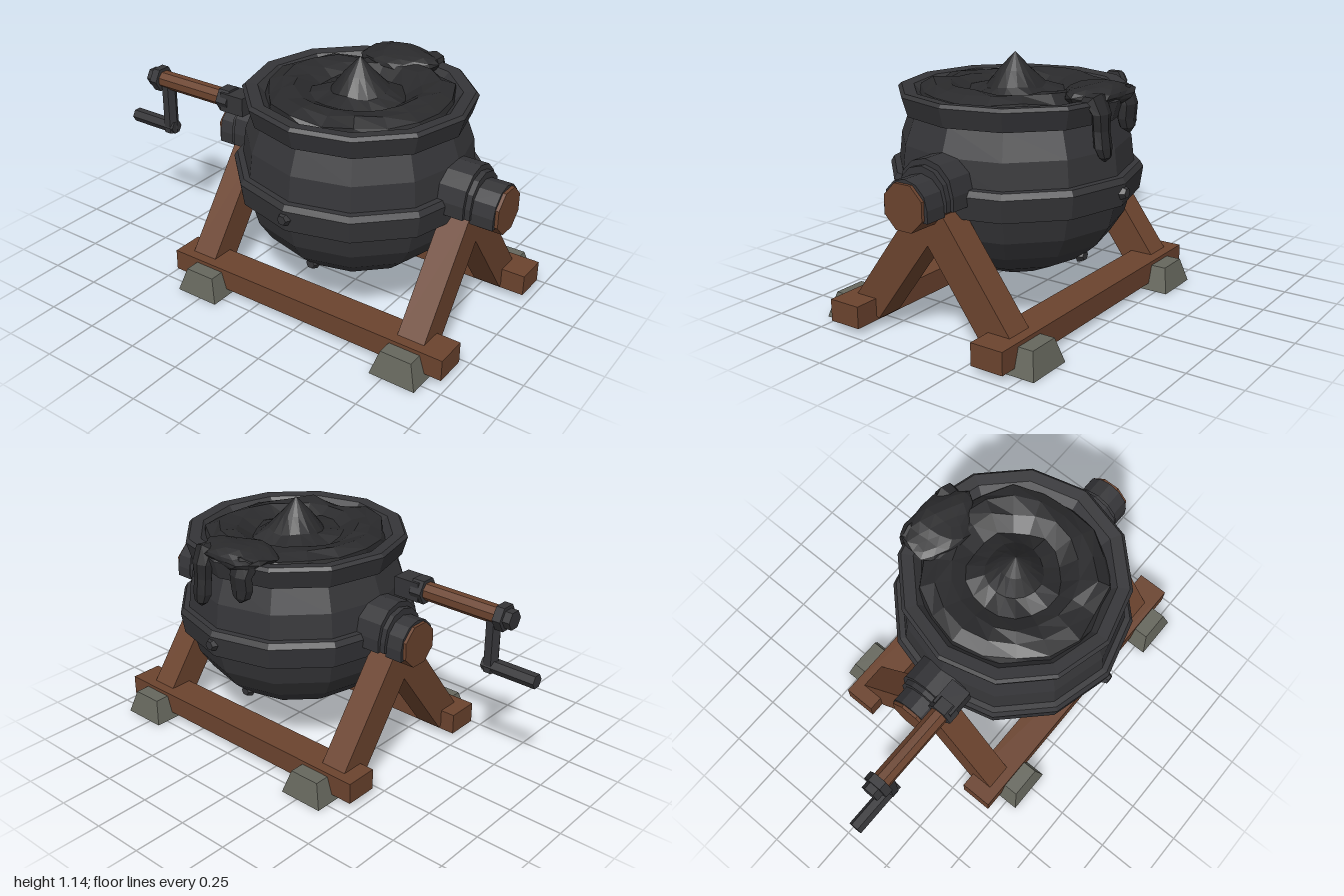
import * as THREE from 'three';

const mat = (color) => new THREE.MeshStandardMaterial({ color, flatShading: true, roughness: 0.9, side: THREE.DoubleSide });
const IRON = mat(0x353538), WOOD = mat(0x6b432e), STONE = mat(0x66675d), BREW = mat(0x2a2a2c);
const POT_Z = 0.25;

export function createModel() {
  const root = new THREE.Group();
  root.name = 'tiltingCauldron';

  const add = (name, geo, material, x = 0, y = 0, z = 0) => {
    const m = new THREE.Mesh(geo, material);
    m.name = name;
    m.position.set(x, y, z);
    root.add(m);
    return m;
  };
  const lathe = (name, pts, material, segs = 12) =>
    add(name, new THREE.LatheGeometry(pts.map(p => new THREE.Vector2(...p)), segs), material, 0, 0, POT_Z);
  // cylinder lying along z between z0 and z1
  const rod = (name, material, r, x, y, z0, z1, sides = 8) => {
    const g = new THREE.CylinderGeometry(r, r, Math.abs(z1 - z0), sides);
    g.rotateY(Math.PI / sides).rotateX(Math.PI / 2);
    return add(name, g, material, x, y, (z0 + z1) / 2);
  };
  const lump = (x, y, z) => Math.sin(x * 23 + z * 9) * 0.5 + Math.sin(z * 29 - x * 7 + y * 17) * 0.5;
  const displace = (g, rule) => {
    const p = g.attributes.position, v = new THREE.Vector3();
    for (let i = 0; i < p.count; i++) {
      rule(v.fromBufferAttribute(p, i));
      p.setXYZ(i, v.x, v.y, v.z);
    }
    g.computeVertexNormals();
    return g;
  };

  // pot body, belt and rim
  lathe('potBody', [[0, 0.18], [0.18, 0.19], [0.34, 0.265], [0.425, 0.34], [0.485, 0.43], [0.515, 0.54],
    [0.525, 0.65], [0.51, 0.78], [0.465, 0.9]], IRON);
  lathe('belt', [[0.505, 0.535], [0.55, 0.54], [0.565, 0.64], [0.55, 0.665], [0.5, 0.668]], IRON);
  lathe('rim', [[0.45, 0.895], [0.495, 0.9], [0.52, 0.985], [0.505, 1.0], [0.45, 0.995], [0.41, 0.95], [0.4, 0.9]], IRON);

  // brew: swollen edge, hollow middle and a central peak
  const brew = lathe('brew', [[0.43, 0.93], [0.41, 0.99], [0.35, 1.015], [0.28, 1.01], [0.21, 0.97],
    [0.13, 1.0], [0.07, 1.07], [0, 1.145]], BREW, 18);
  displace(brew.geometry, v => {
    const r = Math.hypot(v.x, v.z);
    if (r < 0.1 || r > 0.42) return;
    const n = lump(v.x, 0, v.z);
    v.y += n * 0.018;
    v.x *= 1 + n * 0.05;
    v.z *= 1 + n * 0.05;
  });

  // brew spilling over the left side of the rim
  const blob = (name, rx, ry, rz, x, y, z) => {
    const g = new THREE.IcosahedronGeometry(1, 2);
    displace(g, v => {
      v.multiplyScalar(1 + 0.14 * lump(v.x * 0.2, v.y * 0.2, v.z * 0.2));
      v.set(v.x * rx, v.y * ry, v.z * rz);
    });
    add(name, g, BREW, x, y, z);
  };
  blob('spill', 0.13, 0.05, 0.19, 0.4, 1.0, 0.22);
  // each section: x, y, half width along z, half depth
  const drip = (name, z, sections) => {
    const N = 7, pos = [], idx = [];
    sections.forEach(([x, y, w, d], j) => {
      for (let i = 0; i < N; i++) {
        const a = i / N * Math.PI * 2, tilt = j < 2 ? 0.8 : 0;
        pos.push(x + d * Math.cos(a) * (1 - tilt * 0.3), y + d * Math.cos(a) * tilt, z + w * Math.sin(a));
        if (j < sections.length - 1) {
          const p = j * N + i, q = j * N + (i + 1) % N;
          idx.push(p, q, p + N, q, q + N, p + N);
        }
      }
    });
    const g = new THREE.BufferGeometry();
    g.setAttribute('position', new THREE.Float32BufferAttribute(pos, 3));
    g.setIndex(idx);
    g.computeVertexNormals();
    add(name, g, BREW);
  };
  drip('longDrip', 0.345, [[0.38, 1.0, 0.04, 0.03], [0.47, 1.0, 0.06, 0.04], [0.5, 0.95, 0.055, 0.035],
    [0.5, 0.88, 0.045, 0.035], [0.51, 0.81, 0.05, 0.035], [0.52, 0.77, 0.035, 0.025], [0.52, 0.75, 0.005, 0.005]]);
  drip('shortDrip', 0.115, [[0.38, 1.0, 0.05, 0.03], [0.46, 1.0, 0.07, 0.04], [0.49, 0.95, 0.06, 0.035],
    [0.485, 0.89, 0.06, 0.035], [0.49, 0.85, 0.045, 0.03], [0.5, 0.825, 0.005, 0.005]]);

  // rivets on the belt and low on the pot
  for (const s of [-1, 1]) {
    const rivet = new THREE.CylinderGeometry(0.022, 0.035, 0.03, 6).rotateZ(-s * Math.PI / 2);
    add('beltRivet', rivet, IRON, s * 0.56, 0.6, POT_Z);
    add('lowerRivet', rivet, IRON, s * 0.355, 0.28, POT_Z);
  }

  // arched bearing caps over the axle stubs, front and back
  const arch = (r, base, yc, depth) => {
    const pts = [new THREE.Vector2(r, base)];
    for (let i = 0; i <= 6; i++) {
      const a = i / 6 * Math.PI;
      pts.push(new THREE.Vector2(r * Math.cos(a), yc + r * Math.sin(a)));
    }
    pts.push(new THREE.Vector2(-r, base));
    return new THREE.ExtrudeGeometry(new THREE.Shape(pts), { depth, bevelEnabled: false });
  };
  for (const s of [1, -1]) {
    const z = d => POT_Z + s * d;
    rod('axleStub', WOOD, 0.105, 0, 0.63, z(0.45), z(s > 0 ? 0.75 : 0.73));
    const cap = (r, base, yc, d0, d1) =>
      add('bearingCap', arch(r, base, yc, d1 - d0), IRON, 0, 0, Math.min(z(d0), z(d1)));
    cap(0.14, 0.6, 0.66, 0.47, 0.61);
    cap(0.125, 0.6, 0.65, 0.6, 0.635);
    cap(0.112, 0.58, 0.632, 0.63, s > 0 ? 0.735 : 0.715);
  }

  // wooden stand: crossed legs, side rails and stone feet
  const beam = (name, x0, y0, x1, y1, w, d, z) => {
    const m = add(name, new THREE.BoxGeometry(w, Math.hypot(x1 - x0, y1 - y0), d), WOOD, (x0 + x1) / 2, (y0 + y1) / 2, z);
    m.rotation.z = Math.atan2(-(x1 - x0), y1 - y0);
  };
  for (const s of [-1, 1]) {
    for (const z of [0.797, -0.338]) beam('leg', s * 0.35, 0.085, s * 0.01, 0.545, 0.15, 0.13, z);
    add('sideRail', new THREE.BoxGeometry(0.155, 0.1, 1.45), WOOD, s * 0.38, 0.08, 0.25);
    for (const z of [0.795, -0.27]) {
      const foot = new THREE.BoxGeometry(0.16, 0.112, 0.22);
      displace(foot, v => {
        if (v.y > 0) { v.x *= 0.65; v.z *= 0.68; }
      });
      add('foot', foot, STONE, s * 0.475, 0.056, z);
    }
  }

  // crank at the back
  const cx = -0.13, cy = 0.826;
  add('crankSocket', new THREE.BoxGeometry(0.1, 0.09, 0.13), IRON, cx, cy, -0.335);
  rod('crankShaft', WOOD, 0.043, cx, cy, -0.38, -0.82);
  rod('innerNut', IRON, 0.063, cx, cy, -0.36, -0.42, 6);
  rod('outerNut', IRON, 0.063, cx, cy, -0.795, -0.835, 6);
  rod('endNut', IRON, 0.045, cx, cy, -0.83, -0.87, 6);
  add('crankArm', new THREE.CylinderGeometry(0.036, 0.036, 0.27, 6), IRON, cx, 0.69, -0.768);
  rod('crankHandle', IRON, 0.034, cx, 0.583, -0.735, -1.0, 6);

  return root;
}
